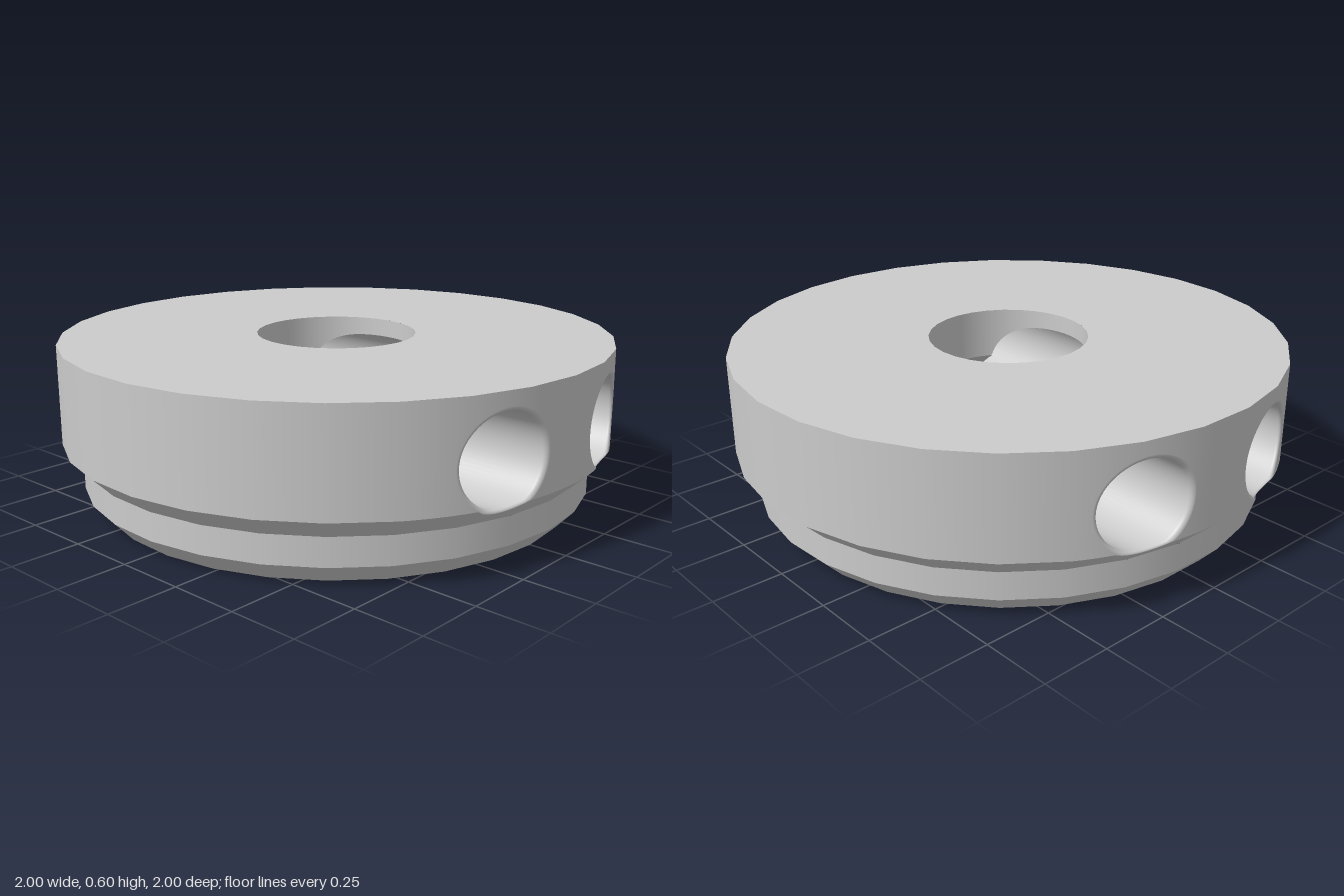
import * as THREE from 'three';
import { mergeGeometries } from 'three/addons/utils/BufferGeometryUtils.js';

const SIDES = 29, STEP = (Math.PI * 2) / SIDES;
const TOP = 0.6, RIM = 0.24, GROOVE = 0.17, LOW = 0.07;     // heights of the outer profile
const NECK = 0.93, FOOT = 0.865;                            // radii below the rim
const BORE = 0.29, BORE_END = 0.415, CUP = 0.525, CUP_TOP = 0.18;
const CX = 0.29, CY = 0.38, CR = 0.155, FILLET = 0.016, MOUTH = CR + FILLET; // cross channels

const outerR = y => 1 - Math.max(0, RIM - y);
const voidR = y => (y >= BORE_END ? BORE : BORE + (BORE_END - y) * (CUP - BORE) / (BORE_END - CUP_TOP));
const circleZ = (x, r) => Math.sqrt(Math.max(0, r * r - x * x));
const halfChord = (x, r) => Math.sqrt(Math.max(0, r * r - (x - CX) ** 2));
const clamp = THREE.MathUtils.clamp;

// z on the faceted rim polygon (unit radius); offset is the angle of a corner
function polygonZ(x, offset) {
  const k = Math.floor((Math.asin(x) - offset) / STEP + 1e-6);
  const a = offset + k * STEP, b = a + STEP;
  const t = (x - Math.sin(a)) / (Math.sin(b) - Math.sin(a));
  return Math.cos(a) + t * (Math.cos(b) - Math.cos(a));
}

// Samples between stops, denser near each stop
function spread(stops, counts) {
  const out = [stops[0]];
  counts.forEach((n, s) => {
    for (let i = 1; i <= n; i++)
      out.push(stops[s] + (stops[s + 1] - stops[s]) * (1 - Math.cos(Math.PI * i / n)) / 2);
  });
  return out;
}

// Grid surface for one quadrant, mirrored by the signs sx and sz
function patch(cols, rows, point, normal, sx, sz) {
  const pos = [], nor = [], idx = [];
  for (let i = 0; i <= cols; i++) for (let j = 0; j <= rows; j++) {
    const p = new THREE.Vector3(...point(i, j / rows));
    const n = new THREE.Vector3(...normal(p, i, j / rows)).normalize();
    pos.push(p.x * sx, p.y, p.z * sz);
    nor.push(n.x * sx, n.y, n.z * sz);
    if (i < cols && j < rows) {
      const a = i * (rows + 1) + j, b = a + rows + 1;
      if (sx * sz > 0) idx.push(a, b, a + 1, b, b + 1, a + 1);
      else idx.push(a, a + 1, b, b, a + 1, b + 1);
    }
  }
  const g = new THREE.BufferGeometry();
  g.setAttribute('position', new THREE.Float32BufferAttribute(pos, 3));
  g.setAttribute('normal', new THREE.Float32BufferAttribute(nor, 3));
  g.setIndex(idx);
  return g;
}

// One straight profile segment turned around the axis
function turn(r0, y0, r1, y1, sides = SIDES, start = 0, length = Math.PI * 2) {
  const g = new THREE.LatheGeometry([new THREE.Vector2(r0, y0), new THREE.Vector2(r1, y1)], sides, start, length);
  g.deleteAttribute('uv');
  return g;
}

export function createModel() {
  const group = new THREE.Group();
  const material = new THREE.MeshStandardMaterial({ color: 0xcccccc });
  const add = (name, geos) => {
    const mesh = new THREE.Mesh(mergeGeometries(geos), material);
    mesh.name = name;
    group.add(mesh);
  };
  const outward = p => [p.x, 0, p.z];
  const slopeOut = p => { const r = Math.hypot(p.x, p.z); return [p.x / r, -1, p.z / r]; };
  const inward = p => [-p.x, 0, -p.z];
  const slopeIn = p => { const r = Math.hypot(p.x, p.z) || 1; return [-p.x / r, -0.94, -p.z / r]; };
  const rim = [], rimChamfer = [], bore = [], cone = [], channels = [], mouths = [];

  for (const sz of [1, -1]) for (const sx of [1, -1]) {
    // Pierced part of the rim and its chamfer
    const offset = sz > 0 ? 0 : STEP / 2;
    const us = spread([0, CX - MOUTH, CX + MOUTH, Math.sin(sz > 0 ? 3 * STEP : 2.5 * STEP)], [4, 32, 4]);
    const n = us.length - 1;
    const lowEdge = u => CY - halfChord(u, MOUTH);
    rim.push(patch(n, 1, (i, t) => t
      ? [us[i], TOP, polygonZ(us[i], offset)]
      : [us[i], CY + halfChord(us[i], MOUTH), circleZ(us[i], 1)], outward, sx, sz));
    rim.push(patch(n, 1, (i, t) => {
      const y = t ? lowEdge(us[i]) : Math.min(RIM, lowEdge(us[i]));
      return [us[i], y, circleZ(us[i], outerR(y))];
    }, outward, sx, sz));
    rimChamfer.push(patch(n, 1, (i, t) => {
      const u = us[i], y = Math.min(RIM, lowEdge(u));
      return t ? [u, y, circleZ(u, outerR(y))] : [u * NECK, GROOVE, polygonZ(u, offset) * NECK];
    }, slopeOut, sx, sz));

    // Centre bore, cut by the channels
    const bs = spread([0, CX - CR, BORE], [8, 16]);
    bore.push(patch(bs.length - 1, 1, (i, t) => {
      const y = t ? Math.max(BORE_END, CY + halfChord(bs[i], CR)) : TOP;
      return [bs[i], y, circleZ(bs[i], BORE)];
    }, inward, sx, sz));

    // Countersink cone above and below the channels
    const cs = spread([0, CX - CR, CX, CX + CR, CUP], [8, 16, 16, 10]);
    const coneTop = x => x <= BORE ? BORE_END
      : BORE_END - (x - BORE) * (BORE_END - CUP_TOP) / (CUP - BORE);
    for (const upper of [true, false]) {
      cone.push(patch(cs.length - 1, 8, (i, t) => {
        const x = cs[i], top = coneTop(x), h = halfChord(x, CR);
        const a = upper ? top : Math.min(CY - h, top);
        const b = upper ? Math.min(CY + h, top) : CUP_TOP;
        const y = a + (b - a) * t;
        return [x, y, circleZ(x, voidR(y))];
      }, slopeIn, sx, sz));
    }

    // Channel wall from the rounded mouth to the central void
    const ring = (i, r) => {
      const a = i * Math.PI / 32;
      return [CX + r * Math.cos(a), CY + r * Math.sin(a)];
    };
    const surface = (x, y) => circleZ(x, outerR(y));
    channels.push(patch(64, 1, (i, t) => {
      const [x, y] = ring(i, CR);
      return [x, y, t ? circleZ(x, voidR(y)) : surface(x, y) - FILLET];
    }, p => [CX - p.x, CY - p.y, 0], sx, sz));
    mouths.push(patch(64, 5, (i, t) => {
      const a = t * Math.PI / 2;
      const [x, y] = ring(i, MOUTH - FILLET * Math.sin(a));
      return [x, y, surface(x, y) - FILLET * (1 - Math.cos(a))];
    }, (p, i, t) => {
      const a = t * Math.PI / 2, d = i * Math.PI / 32, s = Math.sin(a), c = Math.cos(a);
      return [p.x * c - Math.cos(d) * s, -Math.sin(d) * s, p.z * c];
    }, sx, sz));
  }

  // Plain faceted sides of the rim
  for (const start of [3 * STEP, 17 * STEP]) {
    rim.push(turn(1, RIM, 1, TOP, 9, start, 9 * STEP));
    rimChamfer.push(turn(NECK, GROOVE, 1, RIM, 9, start, 9 * STEP));
  }

  add('rim', rim);
  add('rimChamfer', rimChamfer);
  add('topFace', [turn(1, TOP, BORE, TOP)]);
  add('neck', [turn(NECK, LOW, NECK, GROOVE)]);
  add('footChamfer', [turn(FOOT, 0, NECK, LOW)]);
  add('bottomFace', [turn(CUP, 0, FOOT, 0)]);
  add('counterbore', [turn(CUP, CUP_TOP, CUP, 0, SIDES * 2)]);
  add('countersink', cone);
  add('centreBore', bore);
  add('crossChannels', channels);
  add('channelMouths', mouths);
  return group;
}
